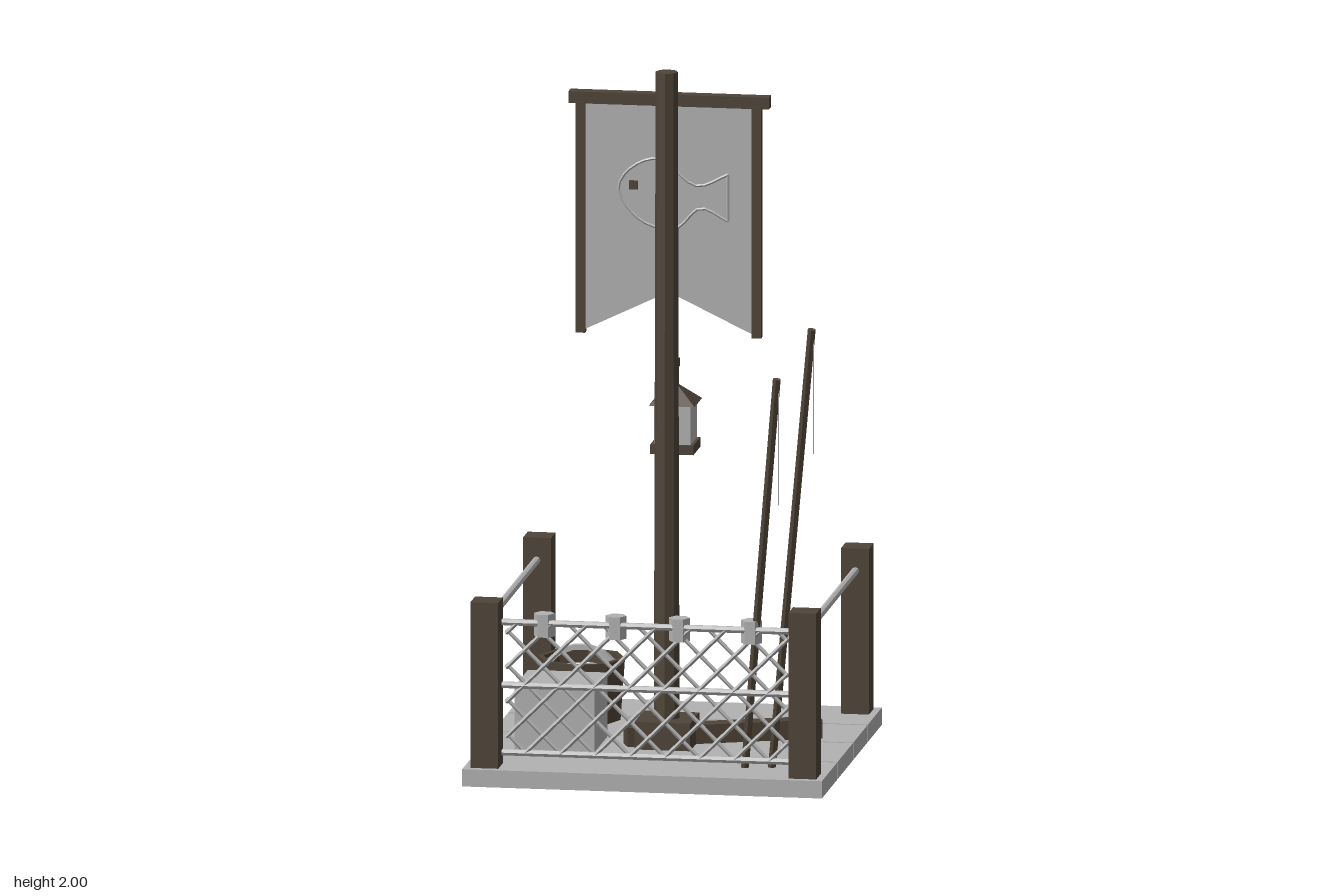
import * as THREE from 'three';

const mat = (name, color) => {
  const m = new THREE.MeshStandardMaterial({ color, side: THREE.DoubleSide });
  m.name = name;
  return m;
};

export function createModel() {
  const root = new THREE.Group();
  const grey = mat('paleGrey', 0xb2b2b2);
  const brown = mat('darkWood', 0x4f4438);
  const water = mat('water', 0xececec);

  // Faceted mesh helper
  const add = (name, geo, material, x = 0, y = 0, z = 0, parent = root) => {
    const g = geo.index ? geo.toNonIndexed() : geo;
    g.computeVertexNormals();
    const m = new THREE.Mesh(g, material);
    m.name = name;
    m.position.set(x, y, z);
    parent.add(m);
    return m;
  };
  // Box from its min and max corners
  const box = (name, material, [x0, y0, z0], [x1, y1, z1], parent) =>
    add(name, new THREE.BoxGeometry(x1 - x0, y1 - y0, z1 - z0), material,
      (x0 + x1) / 2, (y0 + y1) / 2, (z0 + z1) / 2, parent);
  // Straight rod between two points
  const rod = (name, material, a, b, r, sides = 6, parent = root) => {
    const p = new THREE.Vector3(...a), q = new THREE.Vector3(...b);
    const d = q.clone().sub(p);
    const m = add(name, new THREE.CylinderGeometry(r, r, d.length(), sides), material, 0, 0, 0, parent);
    m.position.copy(p.add(q).multiplyScalar(0.5));
    m.quaternion.setFromUnitVectors(new THREE.Vector3(0, 1, 0), d.normalize());
    return m;
  };
  const group = (name) => {
    const g = new THREE.Group();
    g.name = name;
    root.add(g);
    return g;
  };

  // Deck planks, open underneath
  for (const [z0, z1] of [[-0.525, -0.283], [-0.274, -0.03], [-0.021, 0.243], [0.252, 0.517]]) {
    const g = new THREE.BoxGeometry(1.034, 0.05, z1 - z0);
    const idx = Array.from(g.index.array);
    idx.splice(18, 6);
    g.setIndex(idx);
    add('deckPlank', g, grey, 0, 0.025, (z0 + z1) / 2);
  }

  // Corner posts and side rails
  for (const s of [-1, 1]) {
    for (const z of [-0.462, 0.455])
      add('cornerPost', new THREE.BoxGeometry(0.08, 0.48, 0.08), brown, s * 0.457, 0.29, z);
    rod('sideRail', grey, [s * 0.458, 0.465, -0.425], [s * 0.458, 0.465, 0.418], 0.011, 8);
  }

  // Mast and foot block
  box('mastFoot', brown, [-0.08, 0.05, 0.006], [0.08, 0.13, 0.166]);
  add('mast', new THREE.CylinderGeometry(0.032, 0.037, 1.9, 8), brown, 0, 1.05, 0.088);

  // Banner on a crossbar with two side battens
  box('bannerCrossbar', brown, [-0.288, 1.893, 0.017], [0.288, 1.927, 0.055]);
  for (const s of [-1, 1])
    add('bannerBatten', new THREE.BoxGeometry(0.027, 0.67, 0.026), brown, s * 0.253, 1.565, 0.048);
  const cloth = new THREE.Shape([[-0.25, 1.9], [-0.25, 1.235], [0, 1.355], [0.25, 1.235], [0.25, 1.9]]
    .map(([x, y]) => new THREE.Vector2(x, y)));
  add('bannerCloth', new THREE.ExtrudeGeometry(cloth, { depth: 0.01, bevelEnabled: false }), grey, 0, 0, 0.043);

  // Fish outline and eye on the banner
  const fish = new THREE.CatmullRomCurve3([[0.17, 1.7], [0.08, 1.665], [-0.03, 1.74], [-0.11, 1.71], [-0.145, 1.65],
    [-0.08, 1.56], [0.02, 1.54], [0.09, 1.6], [0.17, 1.565]].map(([x, y]) => new THREE.Vector3(x, y, 0.048)));
  add('fishOutline', new THREE.TubeGeometry(fish, 32, 0.008, 5), grey);
  rod('fishTail', grey, [0.17, 1.7, 0.048], [0.17, 1.565, 0.048], 0.008, 5);
  box('fishEye', brown, [-0.112, 1.65, 0.03], [-0.088, 1.675, 0.062]);

  // Hanging lantern behind the mast
  const lantern = group('lantern');
  box('lanternArm', brown, [-0.011, 1.115, -0.073], [0.011, 1.14, 0.07], lantern);
  box('lanternHook', brown, [-0.009, 1.06, -0.072], [0.009, 1.12, -0.054], lantern);
  const roof = new THREE.ConeGeometry(0.066 * Math.SQRT2, 0.058, 4);
  roof.rotateY(Math.PI / 4);
  add('lanternRoof', roof, brown, 0, 1.042, -0.062, lantern);
  box('lanternGlass', grey, [-0.053, 0.895, -0.115], [0.053, 1.015, -0.009], lantern);
  box('lanternBase', brown, [-0.062, 0.873, -0.124], [0.062, 0.9, 0], lantern);

  // Loose beam lying on the deck
  add('looseBeam', new THREE.BoxGeometry(0.565, 0.055, 0.053), brown, 0.149, 0.078, 0.01).rotation.y = 0.38;

  // Crate
  box('crate', grey, [-0.414, 0.05, -0.002], [-0.185, 0.235, 0.226]);

  // Bucket with water and an arched handle
  const bucket = group('bucket');
  bucket.position.set(-0.298, 0.05, -0.234);
  const profile = [[0, 0], [0.112, 0], [0.125, 0.18], [0.11, 0.18], [0.1, 0.02], [0, 0.02]]
    .map(([r, y]) => new THREE.Vector2(r, y));
  add('bucketWall', new THREE.LatheGeometry(profile, 8), brown, 0, 0, 0, bucket);
  add('bucketWater', new THREE.CylinderGeometry(0.107, 0.107, 0.004, 8), water, 0, 0.14, 0, bucket);
  const arch = [[-0.104, 0.165], [-0.065, 0.2], [-0.022, 0.215], [0.022, 0.215], [0.065, 0.2], [0.104, 0.165]];
  const band = new THREE.Shape([...arch, ...arch.map(([x, y]) => [x * 0.9, y - 0.014]).reverse()]
    .map(([x, y]) => new THREE.Vector2(x, y)));
  add('bucketHandle', new THREE.ExtrudeGeometry(band, { depth: 0.022, bevelEnabled: false }), grey, 0, 0, -0.011, bucket);

  // Net along the front: three ropes and crossing strands
  const net = group('net');
  const [xl, yb, yt, nz] = [0.405, 0.085, 0.462, 0.428];
  for (const y of [yb, 0.28, yt])
    rod('netRope', grey, [-0.42, y, nz], [0.42, y, nz], 0.01, 6, net);
  const h = yt - yb;
  for (const s of [-1, 1]) {
    for (let c = -0.75; c < 0.45; c += 0.1) {
      const from = Math.max(c, -xl), to = Math.min(c + h, xl);
      if (to - from < 0.03) continue;
      const z = nz + s * 0.004;
      rod('netStrand', grey, [s * from, yb + from - c, z], [s * to, yb + to - c, z], 0.006, 4, net);
    }
  }
  // Hexagonal floats on the top rope
  for (const x of [-0.298, -0.092, 0.09, 0.297]) {
    const g = new THREE.CylinderGeometry(0.03, 0.03, 0.066, 6);
    g.rotateY(Math.PI / 6);
    add('netFloat', g, grey, x, 0.455, 0.412, net);
  }

  // Fishing rods with hanging lines
  for (const [base, tip, drop] of [
    [[0.345, 0.05, 0.345], [0.487, 1.357, 0.512], 0.36],
    [[0.27, 0.05, 0.36], [0.387, 1.21, 0.515], 0.365]]) {
    rod('fishingRod', brown, base, tip, 0.012, 6);
    rod('fishingLine', grey, [tip[0] + 0.005, tip[1], tip[2]], [tip[0] + 0.005, tip[1] - drop, tip[2]], 0.002, 4);
  }
  return root;
}
